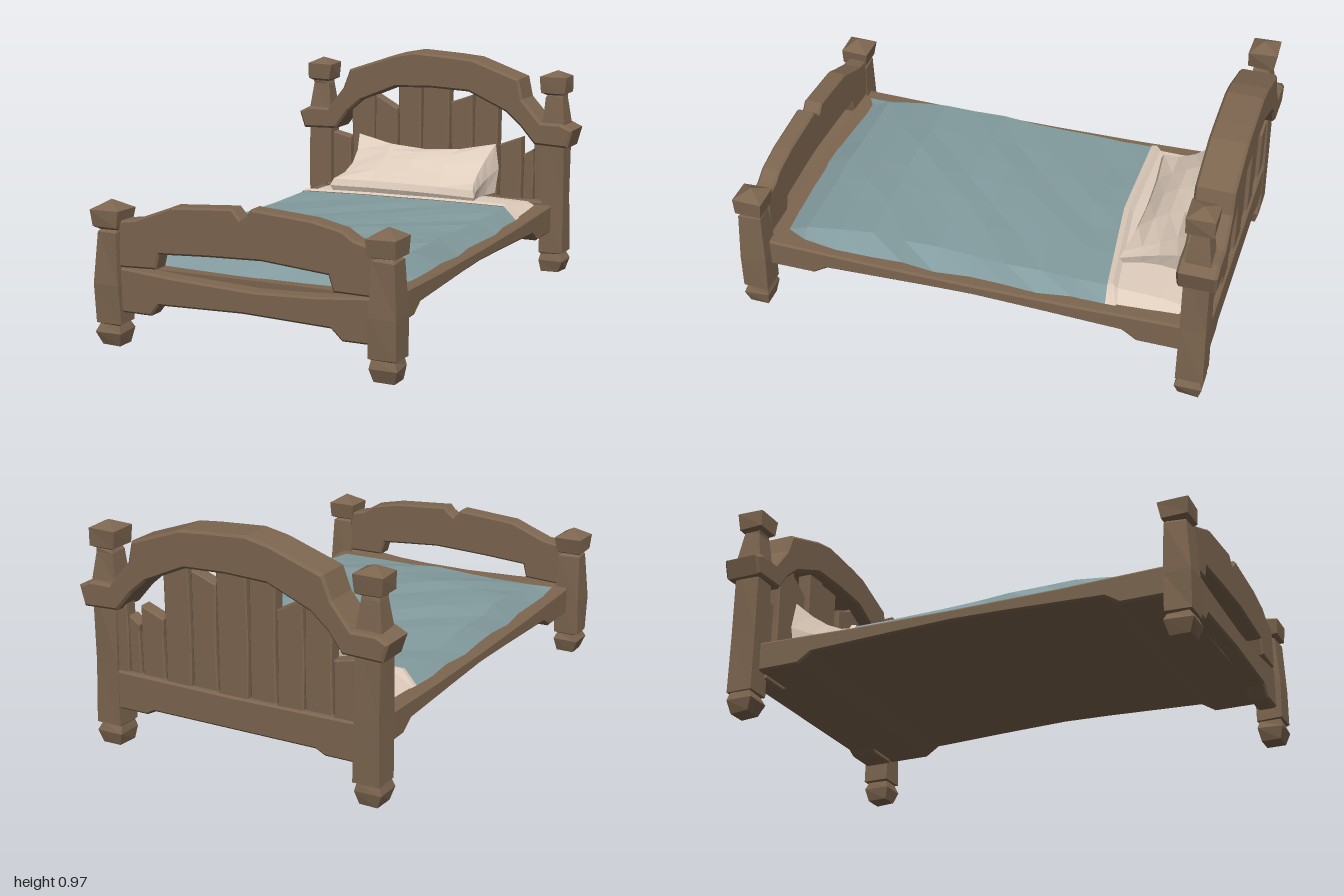
import * as THREE from 'three';

const mat = (name, color, side = THREE.FrontSide) => {
  const m = new THREE.MeshStandardMaterial({ color, flatShading: true, side });
  m.name = name;
  return m;
};

export function createModel() {
  const bed = new THREE.Group();
  bed.name = 'bed';
  const wood = mat('wood', 0x7d6650);
  const teal = mat('blanket teal', 0x839c9f, THREE.DoubleSide);
  const cream = mat('linen cream', 0xdfcdbd, THREE.DoubleSide);

  const add = (name, geo, material) => {
    const mesh = new THREE.Mesh(geo, material);
    mesh.name = name;
    bed.add(mesh);
    return mesh;
  };

  // Move every vertex by a rule; equal positions always move together
  const warp = (geo, rule) => {
    const p = geo.attributes.position, v = new THREE.Vector3();
    for (let i = 0; i < p.count; i++) {
      v.fromBufferAttribute(p, i);
      const [x, y, z] = rule(v.x, v.y, v.z);
      p.setXYZ(i, x, y, z);
    }
    geo.computeVertexNormals();
    return geo;
  };
  const wobble = (x, y, z, k) => Math.sin(Math.round(x * 500) * 12.9 + Math.round(y * 500) * 7.3 + Math.round(z * 500) * 3.7 + k);
  const rough = (geo, a) => warp(geo, (x, y, z) =>
    [x + a * wobble(x, y, z, 0), y + a * 0.5 * wobble(x, y, z, 2), z + a * wobble(x, y, z, 4)]);

  // Flat outline extruded from depth a to depth b
  const board = (pts, a, b, chamfer = 0.008) => {
    const shape = new THREE.Shape(pts.map(([x, y]) => new THREE.Vector2(x, y)));
    const geo = new THREE.ExtrudeGeometry(shape, {
      depth: b - a - 2 * chamfer, bevelEnabled: true, bevelSegments: 1,
      bevelSize: chamfer, bevelOffset: -chamfer, bevelThickness: chamfer,
    });
    return geo.translate(0, 0, a + chamfer);
  };

  // Piecewise-linear lookup in [position, value] pairs
  const lerp = (table, t) => {
    for (let i = 1; i < table.length; i++) {
      const [a, va] = table[i - 1], [b, vb] = table[i];
      if (t <= b) return va + (vb - va) * Math.max(0, (t - a) / (b - a));
    }
    return table[table.length - 1][1];
  };

  // Square carved posts: [half width, height] from the foot to the finial
  const post = (profile, x, z, name) => {
    const pts = profile.map(([h, y]) => new THREE.Vector2(h * Math.SQRT2, y));
    const geo = new THREE.LatheGeometry(pts, 4, Math.PI / 4).translate(x, 0, z);
    add(name, rough(geo, 0.004), wood);
  };
  const foot = [[0, 0.003], [0.04, 0.006], [0.056, 0.06], [0.044, 0.09]];
  const footPost = [...foot, [0.056, 0.095], [0.054, 0.25], [0.046, 0.455], [0.036, 0.465],
    [0.054, 0.475], [0.06, 0.54], [0, 0.58]];
  const headPost = [...foot, [0.056, 0.095], [0.053, 0.35], [0.052, 0.69], [0.039, 0.80], [0.034, 0.815],
    [0.053, 0.825], [0.06, 0.895], [0, 0.925]];
  for (const s of [-1, 1]) {
    const side = s > 0 ? 'left' : 'right';
    post(footPost, s * 0.58, 0.933, side + 'FootPost');
    post(headPost, s * 0.58, -0.91, side + 'HeadPost');
  }

  // Headboard arch with shoulders wrapped round the posts
  add('headboardArch', board([
    [-0.655, 0.59], [-0.49, 0.595], [-0.43, 0.675], [-0.36, 0.735], [-0.18, 0.81], [0, 0.817],
    [0.18, 0.81], [0.36, 0.73], [0.43, 0.67], [0.5, 0.59], [0.655, 0.583], [0.678, 0.665],
    [0.62, 0.69], [0.53, 0.69], [0.44, 0.79], [0.42, 0.88], [0.2, 0.957], [0.1, 0.966],
    [-0.09, 0.977], [-0.19, 0.957], [-0.415, 0.88], [-0.45, 0.79], [-0.53, 0.69],
    [-0.63, 0.69], [-0.68, 0.665],
  ], -0.995, -0.838, 0.01), wood);

  // Headboard planks: left edge, right edge, top at each edge (some are broken)
  [
    [-0.53, -0.435, 0.57, 0.55], [-0.425, -0.31, 0.74, 0.78], [-0.305, -0.195, 0.76, 0.70],
    [-0.185, -0.073, 0.84, 0.84], [-0.064, 0.066, 0.85, 0.85], [0.076, 0.184, 0.75, 0.79],
    [0.192, 0.305, 0.84, 0.80], [0.318, 0.422, 0.57, 0.61], [0.485, 0.535, 0.66, 0.64],
    [0.43, 0.48, 0.53, 0.56],
  ].forEach(([a, b, ya, yb], i) => {
    const m = 0.006 * (i % 2 ? 1 : -1);
    add('headboardPlank', board([[a, 0.25], [b, 0.25], [b + m * 0.5, 0.45], [b, yb], [a, ya], [a + m, 0.5]],
      -0.95 + m, -0.89 + m, 0.005), wood);
  });
  add('headboardLowerRail', board([[-0.54, 0.17], [-0.4, 0.17], [-0.36, 0.19], [0.36, 0.19], [0.4, 0.17],
    [0.54, 0.17], [0.54, 0.33], [0, 0.325], [-0.54, 0.33]], -0.965, -0.85), wood);

  // Arched footboard with a worn notch, and the rail below its opening
  add('footboardArch', board([
    [-0.54, 0.318], [-0.375, 0.325], [-0.36, 0.385], [-0.15, 0.397], [0.08, 0.405], [0.355, 0.382],
    [0.375, 0.32], [0.54, 0.318], [0.54, 0.5], [0.46, 0.52], [0.41, 0.552], [0.29, 0.578],
    [0.04, 0.597], [0.02, 0.575], [-0.008, 0.556], [-0.04, 0.592], [-0.3, 0.574], [-0.36, 0.55], [-0.46, 0.512], [-0.54, 0.5],
  ], 0.885, 0.965), wood);
  add('footboardLowerRail', board([
    [-0.54, 0.14], [-0.4, 0.14], [-0.365, 0.185], [0, 0.195], [0.365, 0.183], [0.41, 0.14], [0.54, 0.14],
    [0.54, 0.318], [0.3, 0.295], [0.05, 0.285], [-0.3, 0.3], [-0.54, 0.318],
  ], 0.885, 0.965), wood);

  // Bed frame: side outline in (-z, y) extruded across the width
  add('bedFrame', board([
    [-0.9, 0.19], [-0.69, 0.19], [-0.63, 0.228], [-0.2, 0.245], [0, 0.25], [0.25, 0.243], [0.62, 0.23],
    [0.68, 0.19], [0.87, 0.19], [0.87, 0.315], [0.4, 0.302], [0, 0.298], [-0.45, 0.3], [-0.9, 0.31],
  ], -0.58, 0.58).rotateY(Math.PI / 2), wood);

  // Soft layers: unit grid (s across, t from head to foot) shaped by a rule
  const layer = (name, nx, nz, rule, material) =>
    add(name, warp(new THREE.PlaneGeometry(2, 1, nx, nz).rotateX(-Math.PI / 2),
      (x, y, z) => rule(x, z + 0.5)), material);
  const across = [[-1, -0.53], [-0.75, -0.475], [-0.5, -0.28], [0, 0], [0.5, 0.28], [0.75, 0.475], [1, 0.535]];
  const edge = (x) => -0.485 - 0.12 * Math.max(0, x);
  const sag = (s, h) => Math.abs(s) > 0.9 ? 0.3 : h - 0.018 * s * s;

  layer('mattress', 8, 4, (s, t) => {
    const z = -0.86 + t * 0.42;
    return [lerp(across, s) * 0.99, sag(s, lerp([[0, 0.335], [0.3, 0.355], [1, 0.36]], t)), z];
  }, cream);

  layer('sheetFold', 8, 2, (s, t) => {
    const x = lerp(across, s);
    return [x, sag(s, lerp([[0, 0.352], [0.5, 0.38], [1, 0.374]], t)), edge(x) - 0.035 + t * 0.045];
  }, cream);

  const height = [[-0.6, 0.37], [-0.3, 0.368], [0, 0.373], [0.2, 0.385], [0.5, 0.387], [0.7, 0.358], [0.82, 0.338], [0.89, 0.295]];
  layer('blanket', 8, 10, (s, t) => {
    const x = lerp(across, s);
    const z = edge(x) + t * (0.89 - edge(x));
    const ripple = t > 0 && t < 1 ? 0.005 * Math.sin(s * 9 + t * 23) : 0;
    return [x + (Math.abs(s) > 0.6 ? ripple * 2 : 0), sag(s, lerp(height, z) + ripple), z];
  }, teal);

  // Pillow: wedge propped against the headboard with pinched sides and raised corners
  add('pillow', warp(new THREE.BoxGeometry(2, 2, 2, 4, 2, 4), (s, y, t) => {
    const ds = 1 - s * s, dt = 1 - t * t, bulge = 1 - y * y;
    const top = 0.415 + 0.083 * (1 - t) - 0.045 * ds * (1 - t) / 2 + 0.035 * ds * dt - 0.03 * dt * s * s;
    const low = 0.355;
    return [
      -0.02 + s * (0.34 - 0.03 * dt + 0.012 * bulge),
      low + (top - low) * (y + 1) / 2,
      -0.695 + t * (0.14 - 0.022 * ds + 0.012 * bulge),
    ];
  }), cream);

  return bed;
}
